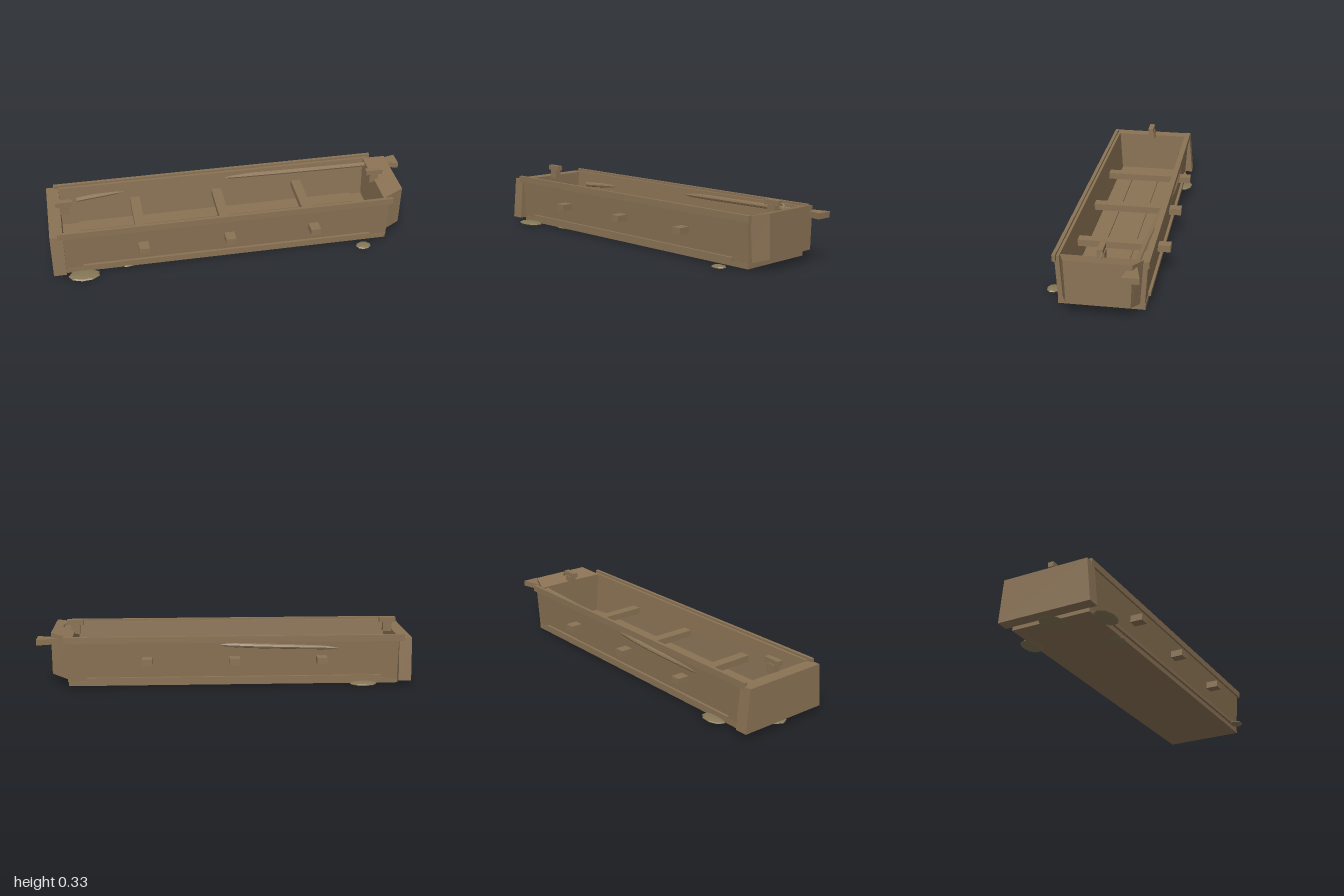
import * as THREE from 'three';

const ZC = -0.0125; // centre line of the hull
const wood = new THREE.MeshStandardMaterial({ color: 0x8b7355, flatShading: true });
const stone = new THREE.MeshStandardMaterial({ color: 0x857757, flatShading: true });

export function createModel() {
  const model = new THREE.Group();
  const hull = new THREE.Group();
  hull.name = 'hull';
  hull.position.z = ZC;
  model.add(hull);

  const add = (parent, name, geometry, material = wood) => {
    const mesh = new THREE.Mesh(geometry, material);
    mesh.name = name;
    parent.add(mesh);
    return mesh;
  };

  // Box given by its limits, with an optional rule that moves each corner
  const block = (parent, name, [x0, x1], [y0, y1], [z0, z1], rule) => {
    const g = new THREE.BoxGeometry(x1 - x0, y1 - y0, z1 - z0);
    g.translate((x0 + x1) / 2, (y0 + y1) / 2, (z0 + z1) / 2);
    if (rule) {
      const p = g.attributes.position;
      const v = new THREE.Vector3();
      for (let i = 0; i < p.count; i++) {
        v.fromBufferAttribute(p, i);
        rule(v);
        p.setXYZ(i, v.x, v.y, v.z);
      }
      g.computeVertexNormals();
    }
    return add(parent, name, g);
  };

  // Floor and its three inner planks
  block(hull, 'floor', [-0.935, 0.835], [0.01, 0.036], [-0.217, 0.217]);
  for (const [z0, z1] of [[-0.19, -0.104], [-0.067, 0.057], [0.094, 0.184]]) {
    block(hull, 'floorPlank', [-0.84, 0.74], [0.034, 0.045], [z0, z1]);
  }

  // Leaning side walls with their rails
  for (const s of [-1, 1]) {
    const span = (a, b) => (s > 0 ? [a, b] : [-b, -a]);
    block(hull, 'sideWall', [-0.935, 0.838], [0.03, 0.268], span(0.19, 0.214),
      (v) => { v.z += s * (v.y - 0.03) * 0.065; });
    block(hull, 'gunwale', [-0.96, 0.855], [0.245, 0.28], span(0.22, 0.238));
    block(hull, 'chineRail', [-0.84, 0.74], [0.036, 0.056], span(0.212, 0.23));
  }

  // Stern block, wider at the foot
  block(hull, 'stern', [-1, -0.932], [0.03, 0.262], [-0.257, 0.257],
    (v) => { if (v.y > 0.1) v.z *= 0.918; });

  // Bow block, narrowing and rising forward
  block(hull, 'bow', [0.812, 0.925], [0.03, 0.27], [-0.2, 0.2], (v) => {
    const front = v.x > 0.9;
    const top = v.y > 0.1;
    v.y = front ? (top ? 0.293 : 0.065) : (top ? 0.268 : 0.03);
    v.z = Math.sign(v.z) * (front ? (top ? 0.168 : 0.158) : (top ? 0.207 : 0.193));
  });

  // Cross beams that pass through both walls
  for (const x of [-0.515, -0.05, 0.415]) {
    block(hull, 'crossBeam', [x - 0.027, x + 0.027], [0.132, 0.168], [-0.288, 0.288]);
  }

  // T-shaped mooring posts at both ends
  for (const x of [-0.91, 0.81]) {
    block(hull, 'mooringPost', [x - 0.024, x + 0.024], [0.25, 0.302], [-0.018, 0.018]);
    block(hull, 'mooringBar', [x - 0.045, x + 0.045], [0.299, 0.326], [-0.013, 0.017]);
  }

  // Small rope end at the bow post
  const rope = new THREE.CatmullRomCurve3([
    new THREE.Vector3(0.825, 0.303, 0),
    new THREE.Vector3(0.853, 0.311, -0.009),
    new THREE.Vector3(0.868, 0.303, -0.01),
    new THREE.Vector3(0.873, 0.29, -0.004),
  ]);
  add(hull, 'ropeEnd', new THREE.TubeGeometry(rope, 8, 0.005, 6), stone);

  // Bent steering oar, weaving through the far wall
  const oar = new THREE.Group();
  oar.name = 'oar';
  model.add(oar);
  const shaft = new THREE.CatmullRomCurve3([
    new THREE.Vector3(0.92, 0.25, -0.18),
    new THREE.Vector3(0.5, 0.243, -0.196),
    new THREE.Vector3(0.1, 0.233, -0.22),
    new THREE.Vector3(-0.16, 0.225, -0.241),
    new THREE.Vector3(-0.5, 0.212, -0.232),
    new THREE.Vector3(-0.84, 0.195, -0.205),
  ]);
  add(oar, 'oarShaft', new THREE.TubeGeometry(shaft, 24, 0.0135, 8));
  block(oar, 'oarBlade', [0.87, 1], [0.234, 0.265], [-0.225, -0.135],
    (v) => { if (v.x < 0.9) v.z = -0.18 + (v.z + 0.18) * 0.3; });

  // Flat stones around and under the hull: x, z, radius x, radius z, height
  for (const [x, z, rx, rz, h] of [
    [-0.84, 0.24, 0.085, 0.052, 0.022],
    [-0.745, -0.24, 0.075, 0.05, 0.022],
    [-0.92, -0.012, 0.08, 0.062, 0.02],
    [-0.605, 0.175, 0.05, 0.036, 0.019],
    [0.695, 0.26, 0.042, 0.033, 0.02],
  ]) {
    const rock = add(model, 'stone', new THREE.SphereGeometry(1, 9, 6), stone);
    rock.scale.set(rx, h / 2, rz);
    rock.position.set(x, h / 2, z);
  }

  return model;
}
